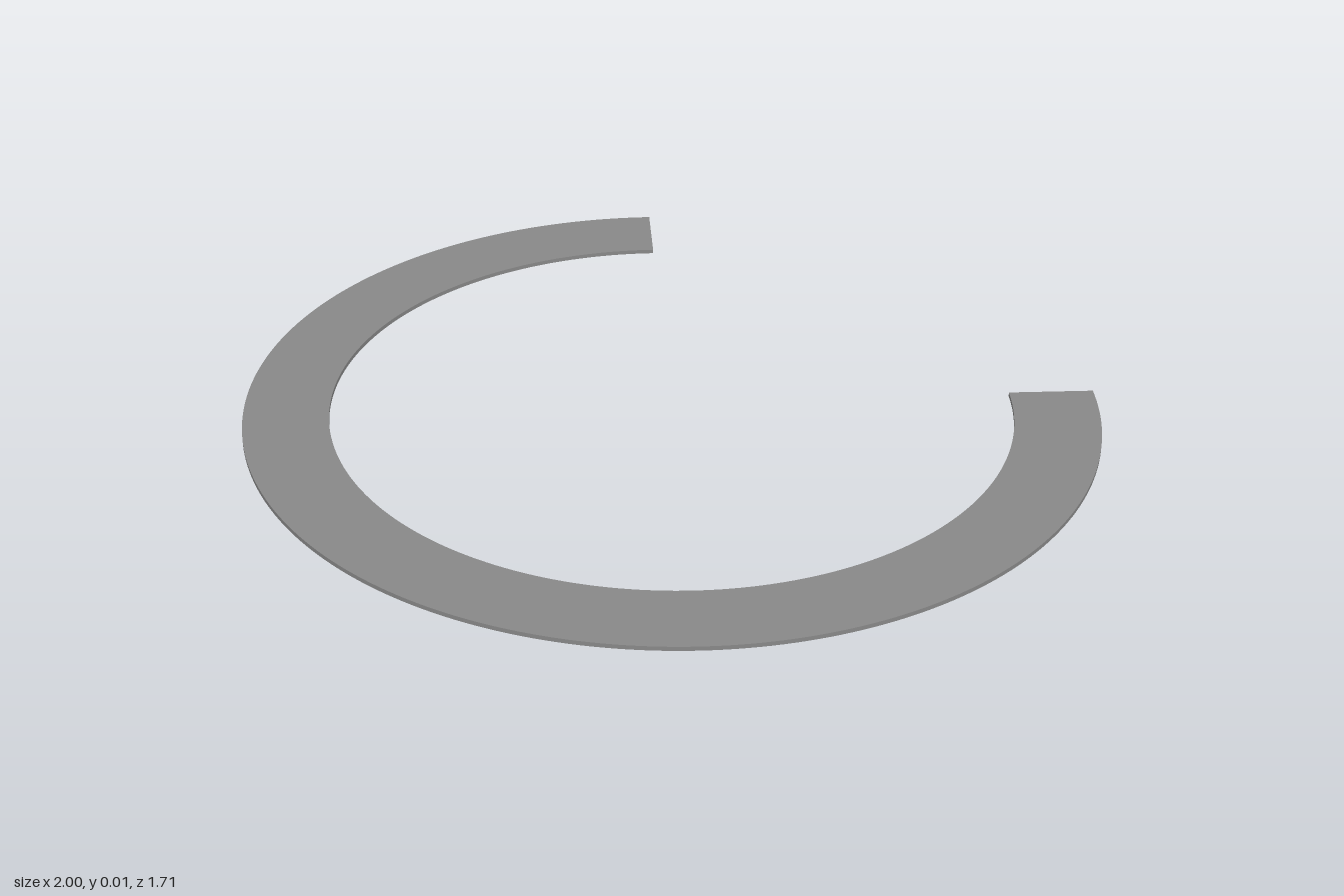
import * as THREE from 'three';
import { toCreasedNormals } from 'three/addons/utils/BufferGeometryUtils.js';

const OUTER = 1, INNER = 0.8, THICKNESS = 0.01;
const START = Math.PI * 0.75, END = Math.PI * 2.25; // quarter gap at the back

export function createModel() {
  const group = new THREE.Group();
  group.name = 'openRing';

  // Flat three-quarter ring outline
  const outline = new THREE.Shape();
  outline.absarc(0, 0, OUTER, START, END, false);
  outline.absarc(0, 0, INNER, END, START, true);
  outline.closePath();

  // Thin plate laid flat on the ground
  const plate = new THREE.ExtrudeGeometry(outline, {
    depth: THICKNESS, bevelEnabled: false, curveSegments: 96,
  });
  plate.rotateX(-Math.PI / 2);
  plate.translate(0, 0, -(OUTER - Math.SQRT1_2) / 2);

  const ring = new THREE.Mesh(
    toCreasedNormals(plate, Math.PI / 6),
    new THREE.MeshStandardMaterial({ color: 0x888888 }),
  );
  ring.name = 'ringPlate';
  group.add(ring);
  return group;
}
